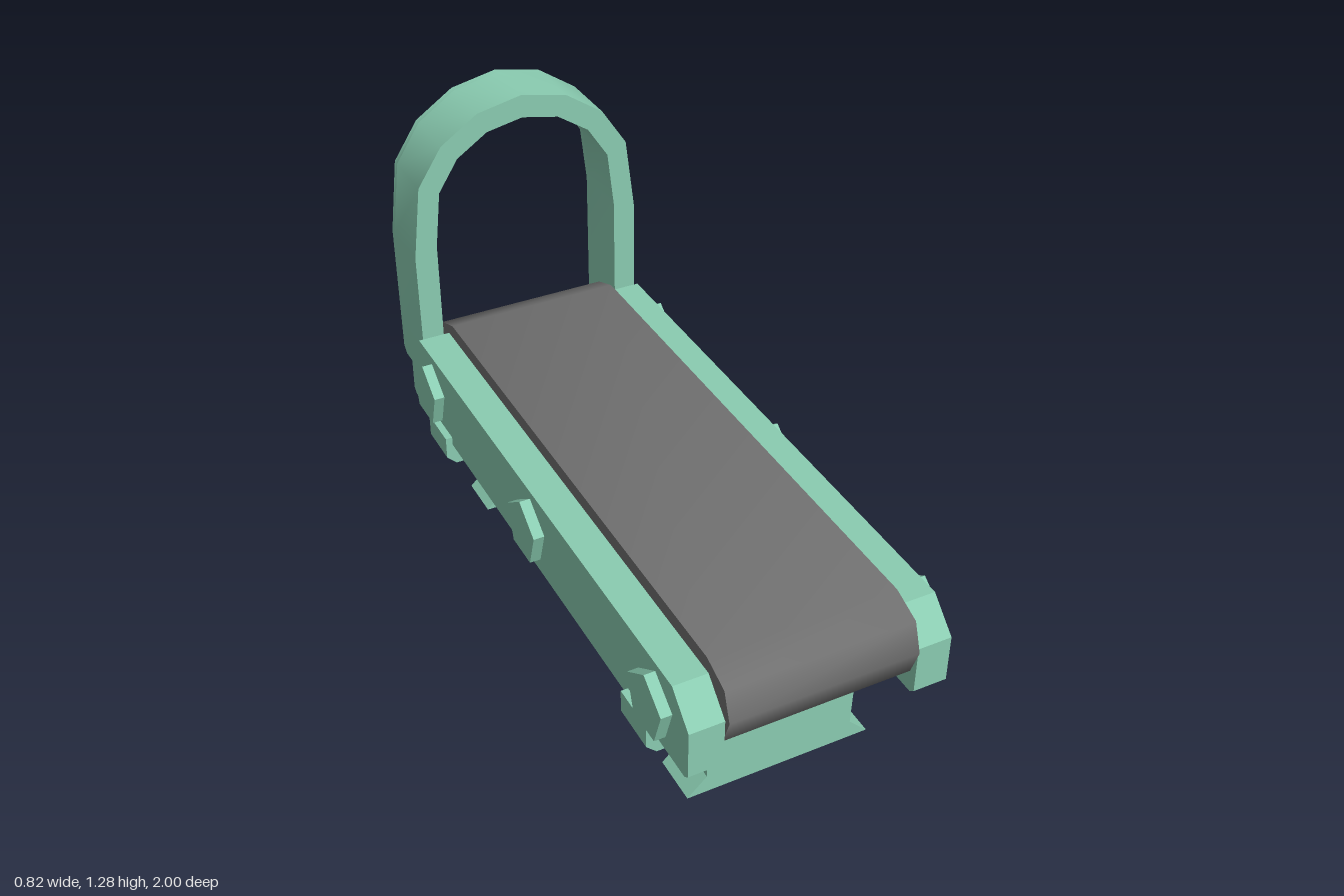
import * as THREE from 'three';
import { toCreasedNormals } from 'three/addons/utils/BufferGeometryUtils.js';

const green = new THREE.MeshStandardMaterial({ color: 0x8accb1 });
green.name = 'mint green metal';
const grey = new THREE.MeshStandardMaterial({ color: 0x707070 });
grey.name = 'grey belt rubber';

const shapeOf = (points) => new THREE.Shape(points.map(([a, b]) => new THREE.Vector2(a, b)));

// Front outline (x, y) extruded from z0 to z1
function frontExtrude(points, z0, z1) {
  const g = new THREE.ExtrudeGeometry(shapeOf(points), { depth: z1 - z0, bevelEnabled: false });
  return g.translate(0, 0, z0);
}

// Side outline (z, y) extruded from x0 to x1
function sideExtrude(points, x0, x1) {
  const g = new THREE.ExtrudeGeometry(shapeOf(points), { depth: x1 - x0, bevelEnabled: false });
  return g.rotateY(-Math.PI / 2).translate(x1, 0, 0);
}

// Closed outline from one half, mirrored about a vertical line
const mirrored = (half, c = 0) => [...half, ...half.slice().reverse()
  .filter(([a]) => Math.abs(a - c) > 1e-6).map(([a, b]) => [2 * c - a, b])];

export function createModel() {
  const model = new THREE.Group();
  model.name = 'conveyor';
  const add = (name, geometry, material = green) => {
    const mesh = new THREE.Mesh(geometry, material);
    mesh.name = name;
    model.add(mesh);
  };
  const midZ = 0.05;

  // Belt with rounded ends
  const belt = mirrored([[0.88, 0.33], [0.97, 0.365], [1, 0.45], [0.97, 0.535], [0.88, 0.57]], midZ);
  add('belt', toCreasedNormals(sideExtrude(belt, -0.274, 0.274), 1), grey);

  // Side rails and their five-sided bolts
  const rail = mirrored([[0.972, 0.292], [0.988, 0.306], [0.988, 0.452], [0.9, 0.536]], midZ);
  for (const [side, s] of [['left', 1], ['right', -1]]) {
    const [x0, x1] = s > 0 ? [0.279, 0.379] : [-0.379, -0.279];
    add(side + 'Rail', sideExtrude(rail, x0, x1));
    for (const [place, z] of [['Front', 0.812], ['Middle', 0.052], ['Back', -0.695]]) {
      const pentagon = [];
      for (let i = 0; i < 5; i++) {
        const a = Math.PI / 2 + i * Math.PI * 0.4;
        pentagon.push([z + 0.097 * Math.cos(a), 0.414 + 0.097 * Math.sin(a)]);
      }
      const [b0, b1] = s > 0 ? [0.36, 0.411] : [-0.411, -0.36];
      add(side + place + 'Bolt', sideExtrude(pentagon, b0, b1));
    }
  }

  // Stands with a cross bar on top and a flared foot
  const stand = mirrored([[0.278, 0], [0.221, 0.056], [0.226, 0.221], [0.37, 0.221], [0.4, 0.25], [0.4, 0.32]]);
  add('frontStand', frontExtrude(stand, 0.66, 0.805));
  add('backStand', frontExtrude(stand, -0.7, -0.56));

  // Arch at the back
  const outer = [[0.365, 0.38], [0.368, 0.825], [0.34, 1.056], [0.262, 1.175], [0.143, 1.255], [0, 1.285]];
  const inner = [[0.297, 0.38], [0.297, 0.85], [0.277, 1.026], [0.213, 1.125], [0.115, 1.19], [0, 1.213]];
  const arch = [...mirrored(outer), ...mirrored(inner).reverse()];
  add('arch', toCreasedNormals(frontExtrude(arch, -0.98, -0.8), 0.9));

  // Thin rear slice of the arch, its bottom back edge cut off
  const rear = frontExtrude(arch, -1, -0.98);
  const p = rear.attributes.position;
  for (let i = 0; i < p.count; i++) {
    if (p.getY(i) < 0.4 && p.getZ(i) < -0.99) p.setY(i, 0.4);
  }
  add('archRearEdge', toCreasedNormals(rear, 0.7));

  return model;
}
